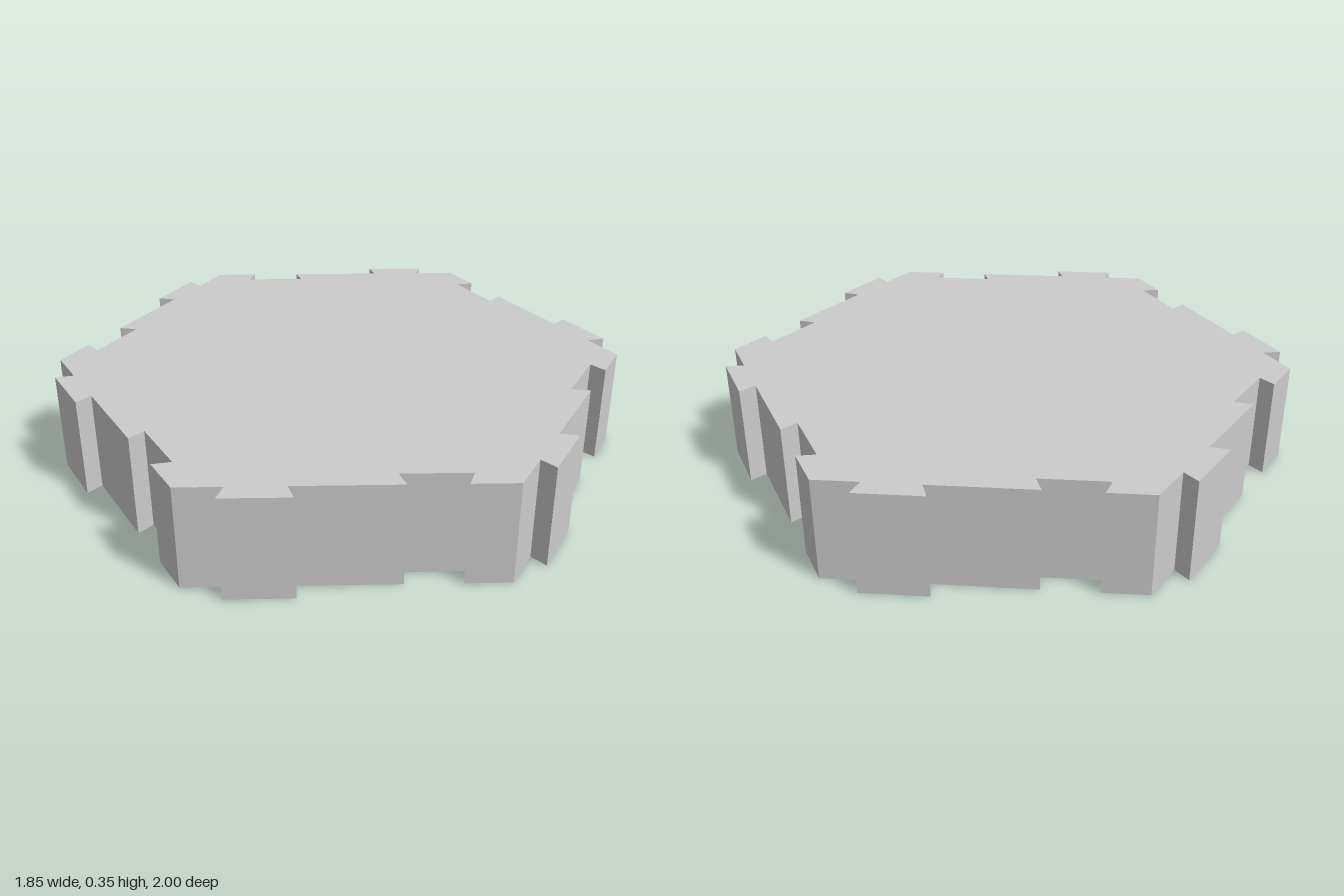
import * as THREE from 'three';

const HEIGHT = 0.35;
const APOTHEM = Math.sqrt(3) / 2;
const DEPTH = 0.06; // how far slots cut in and tabs stick out

// One hexagon side as [outward offset, distance along the side]
const SIDE = [
  [0, -0.5],
  [0, -0.35], [-DEPTH, -0.37], [-DEPTH, -0.15], [0, -0.17], // dovetail slot
  [0, 0.17], [DEPTH, 0.15], [DEPTH, 0.37], [0, 0.35], // dovetail tab
];

// Hexagon outline: the same side turned six times about the centre
function tileOutline() {
  const points = [];
  const centre = new THREE.Vector2();
  for (let i = 0; i < 6; i++) {
    for (const [out, along] of SIDE) {
      points.push(new THREE.Vector2(APOTHEM + out, along).rotateAround(centre, (i * Math.PI) / 3));
    }
  }
  return new THREE.Shape(points);
}

export function createModel() {
  const group = new THREE.Group();
  group.name = 'interlockingHexTile';

  // Solid tile, laid flat with its base on y = 0
  const geometry = new THREE.ExtrudeGeometry(tileOutline(), { depth: HEIGHT, bevelEnabled: false });
  geometry.rotateX(Math.PI / 2);
  geometry.translate(0, HEIGHT, 0);

  const material = new THREE.MeshStandardMaterial({ color: 0xcccccc, flatShading: true });
  const tile = new THREE.Mesh(geometry, material);
  tile.name = 'hexTile';
  group.add(tile);
  return group;
}
